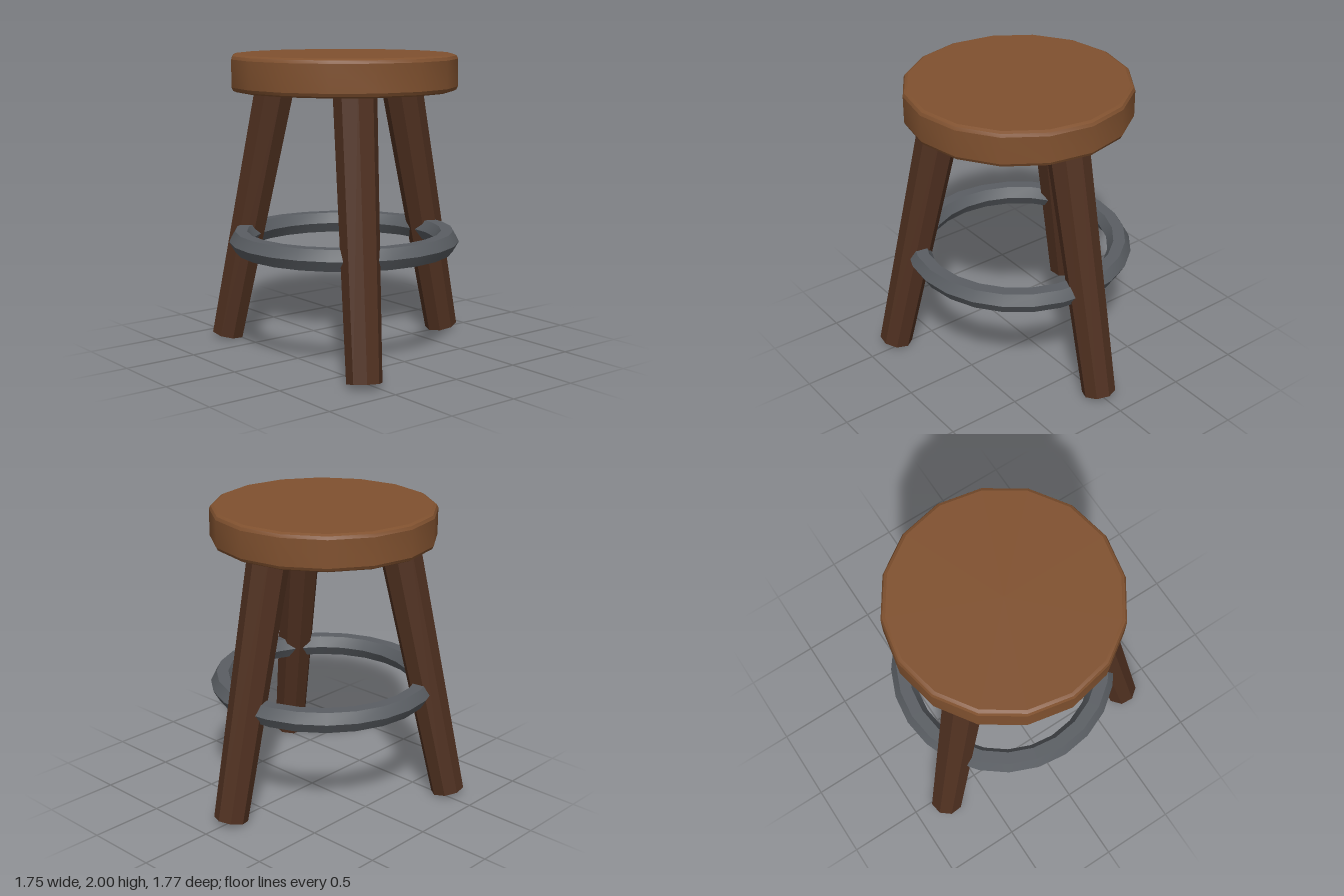
import * as THREE from 'three';
import { toCreasedNormals } from 'three/addons/utils/BufferGeometryUtils.js';

const CENTER_Z = 0.11; // the seat axis sits forward of the origin
const CREASE = 0.45;

function part(name, geometry, color) {
  const material = new THREE.MeshStandardMaterial({ color });
  const mesh = new THREE.Mesh(toCreasedNormals(geometry, CREASE), material);
  mesh.name = name;
  return mesh;
}

export function createModel() {
  const stool = new THREE.Group();
  stool.name = 'stool';
  const body = new THREE.Group();
  body.name = 'stoolBody';
  body.position.z = CENTER_Z;
  stool.add(body);

  // Round seat: 16 sides, softened rims
  const profile = [
    [0, 1.76], [0.72, 1.76], [0.74, 1.77], [0.75, 1.79],
    [0.75, 1.97], [0.74, 1.99], [0.72, 2], [0, 2],
  ].map(([r, y]) => new THREE.Vector2(r, y));
  body.add(part('seat', new THREE.LatheGeometry(profile, 16), 0x80512f));

  // Foot ring: hexagonal section, 24 segments
  const ring = new THREE.TorusGeometry(0.69, 0.08, 6, 24);
  ring.rotateX(Math.PI / 2).translate(0, 0.76, 0);
  body.add(part('footRing', ring, 0x5a5e63));

  // Three splayed, tapered octagonal legs
  const length = 1.87;
  const legs = { leftLeg: Math.PI / 3, backLeg: Math.PI, rightLeg: -Math.PI / 3 };
  for (const [name, angle] of Object.entries(legs)) {
    const leg = new THREE.CylinderGeometry(0.1415, 0.113, length, 8);
    leg.translate(0, length / 2, 0)
      .rotateX(-Math.atan(0.22))
      .translate(0, 0.025, 0.885)
      .rotateY(angle);
    body.add(part(name, leg, 0x4f3020));
  }

  return stool;
}
